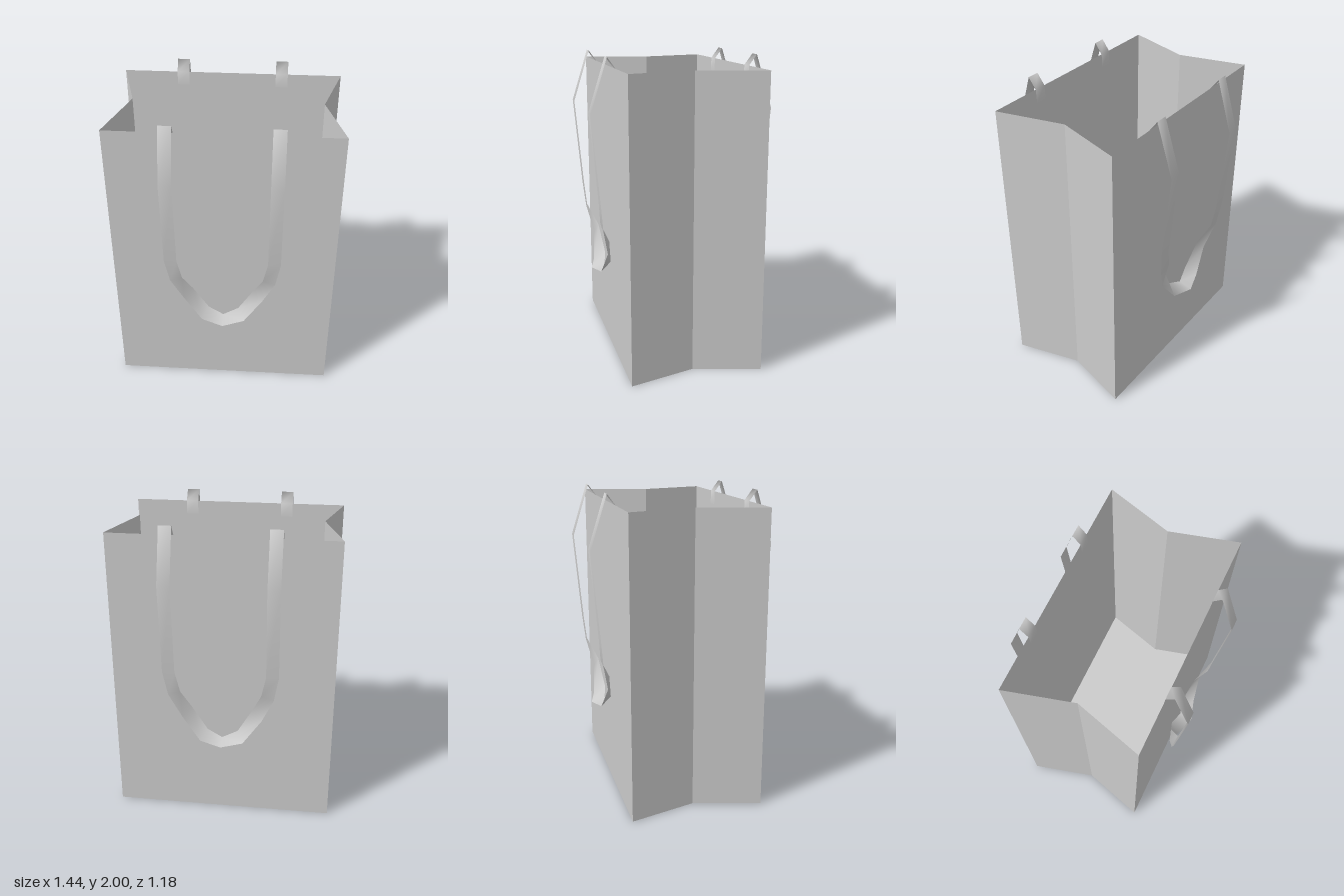
import * as THREE from 'three';

const material = new THREE.MeshStandardMaterial({ color: 0xcccccc, side: THREE.DoubleSide });

// Ribbon surface between two edges of [x, y, z] points
function strip(edgeA, edgeB) {
  const positions = [], index = [];
  edgeA.forEach((a, i) => {
    positions.push(...a, ...edgeB[i]);
    if (i > 0) {
      const k = 2 * i;
      index.push(k - 2, k - 1, k, k, k - 1, k + 1);
    }
  });
  const geometry = new THREE.BufferGeometry();
  geometry.setAttribute('position', new THREE.Float32BufferAttribute(positions, 3));
  geometry.setIndex(index);
  return geometry;
}

function addMesh(parent, geometry, name) {
  const mesh = new THREE.Mesh(geometry, material);
  mesh.name = name;
  parent.add(mesh);
  return mesh;
}

// Open paper bag with side gussets folded inwards
function makeBag() {
  const bag = new THREE.Group();
  bag.name = 'bag';
  const height = 1.93;
  const outline = [[-0.72, 0.43], [0.72, 0.43], [0.6, 0], [0.72, -0.43], [-0.72, -0.43], [-0.6, 0]];
  const loop = [...outline, outline[0]];

  const walls = strip(
    loop.map(([x, z]) => [x, height, z]),
    loop.map(([x, z]) => [x, 0, z])
  ).toNonIndexed();
  walls.computeVertexNormals();
  addMesh(bag, walls, 'walls');

  const floorShape = new THREE.Shape(outline.map(([x, z]) => new THREE.Vector2(x, z)));
  const floor = new THREE.ShapeGeometry(floorShape).rotateX(Math.PI / 2);
  addMesh(bag, floor, 'floor');
  return bag;
}

// Flat ribbon hooked over the rim and hanging in a twisted loop
function makeHandleGeometry() {
  // One half from the rim to the middle: outer edge, then inner edge
  const outer = [
    [0.37, 1.84, 0.425], [0.37, 1.93, 0.428], [0.37, 2, 0.48], [0.37, 1.66, 0.588], [0.37, 1.07, 0.537],
    [0.34, 0.9, 0.52], [0.26, 0.72, 0.48], [0.14, 0.56, 0.505], [0, 0.545, 0.548]
  ];
  const inner = [
    [0.29, 1.84, 0.425], [0.29, 1.93, 0.428], [0.29, 2, 0.48], [0.29, 1.66, 0.588], [0.29, 1.07, 0.537],
    [0.26, 0.93, 0.525], [0.2, 0.79, 0.458], [0.1, 0.61, 0.432], [0, 0.57, 0.457]
  ];
  const mirrored = (half) => [...half, ...half.slice(0, -1).reverse().map(([x, y, z]) => [-x, y, z])];
  const geometry = strip(mirrored(inner), mirrored(outer));
  geometry.computeVertexNormals();
  return geometry;
}

export function createModel() {
  const model = new THREE.Group();
  model.name = 'paperBag';
  model.add(makeBag());

  const handle = makeHandleGeometry();
  addMesh(model, handle, 'frontHandle');
  addMesh(model, handle, 'backHandle').rotation.y = Math.PI;
  return model;
}
